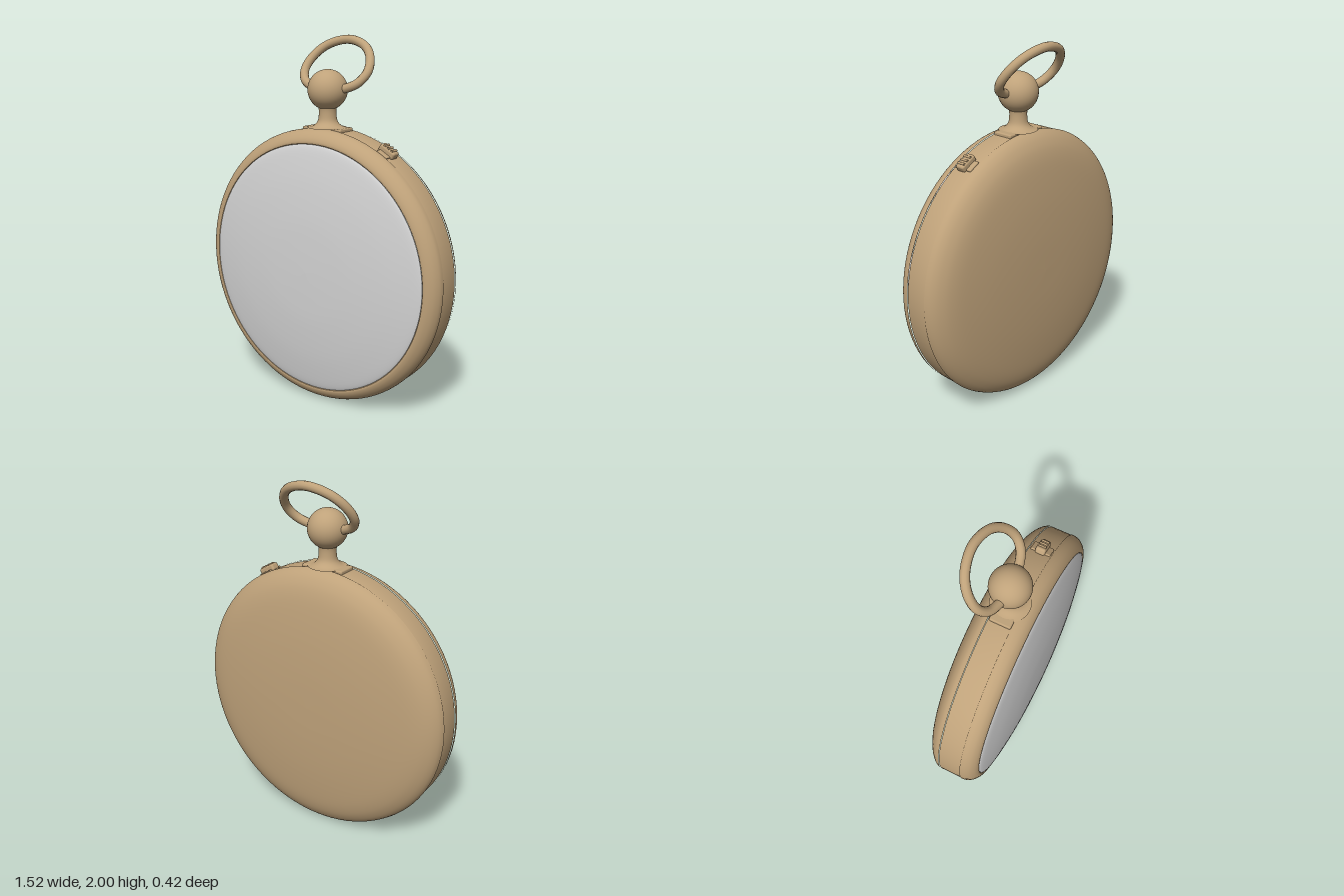
import * as THREE from 'three';
import { RoundedBoxGeometry } from 'three/addons/geometries/RoundedBoxGeometry.js';

const CENTRE_Y = 0.765, R = 0.76;

export function createModel() {
  const watch = new THREE.Group();
  watch.name = 'pocketWatch';
  const brass = new THREE.MeshStandardMaterial({ name: 'brass', color: 0xbfa27a });
  const glass = new THREE.MeshStandardMaterial({ name: 'pale glass', color: 0xd4d4d4 });

  const add = (parent, name, geometry, material = brass) => {
    const mesh = new THREE.Mesh(geometry, material);
    mesh.name = name;
    parent.add(mesh);
    return mesh;
  };
  const vectors = (points) => points.map(([x, y]) => new THREE.Vector2(x, y));
  // Smooth profile of [radius, height] points turned around y
  const turned = (points, steps, segments) => new THREE.LatheGeometry(
    new THREE.SplineCurve(vectors(points)).getPoints(steps), segments);

  // Case, turned around the z axis
  const body = new THREE.Group();
  body.name = 'case';
  body.position.y = CENTRE_Y;
  body.rotation.x = Math.PI / 2;
  watch.add(body);
  add(body, 'backCover', turned([[0, -0.205], [0.2, -0.202], [0.4, -0.191], [0.57, -0.172],
    [0.66, -0.152], [0.715, -0.125], [0.747, -0.095], [R, -0.066]], 32, 96));
  add(body, 'middleBand', new THREE.LatheGeometry(vectors([[R - 0.02, -0.066], [R - 0.003, -0.064],
    [R - 0.003, 0.058], [R - 0.02, 0.06]]), 96));
  add(body, 'bezel', turned([[R, 0.06], [0.757, 0.085], [0.742, 0.113], [0.72, 0.133],
    [0.7, 0.142], [0.688, 0.142]], 20, 96));
  add(body, 'bezelLip', new THREE.LatheGeometry(vectors([[0.688, 0.142], [0.68, 0.13]]), 96));
  add(body, 'glassDome', turned([[0.683, 0.135], [0.679, 0.146], [0.62, 0.16], [0.48, 0.181],
    [0.3, 0.197], [0.14, 0.203], [0, 0.205]], 28, 96), glass);

  // Neck and crown ball
  add(watch, 'neckPlate', new RoundedBoxGeometry(0.25, 0.03, 0.118, 2, 0.008)).position.y = 1.514;
  add(watch, 'neck', turned([[0.105, 1.525], [0.075, 1.535], [0.053, 1.56], [0.047, 1.6],
    [0.05, 1.635], [0.064, 1.66]], 20, 32));
  add(watch, 'crownBall', new THREE.SphereGeometry(0.107, 40, 28)).position.y = 1.725;

  // Bow leaning backwards, mirrored about x = 0
  const half = [[0.07, 1.728], [0.115, 1.738], [0.172, 1.765], [0.204, 1.82], [0.185, 1.89],
    [0.12, 1.95]];
  const place = ([x, y]) => new THREE.Vector3(x, y, -0.74 * (y - 1.725));
  const bowPath = new THREE.CatmullRomCurve3([
    ...half.map(place), place([0, 1.98]),
    ...half.map(([x, y]) => place([-x, y])).reverse(),
  ]);
  add(watch, 'bow', new THREE.TubeGeometry(bowPath, 72, 0.024, 12));

  // Release button on the upper left of the rim
  const release = new THREE.Group();
  release.name = 'releaseButton';
  const angle = Math.PI / 6;
  release.position.set(R * Math.sin(angle), CENTRE_Y + R * Math.cos(angle), 0);
  release.rotation.z = -angle;
  watch.add(release);
  add(release, 'buttonPlate', new RoundedBoxGeometry(0.07, 0.02, 0.11, 2, 0.005)).position.y = -0.005;
  add(release, 'button', new RoundedBoxGeometry(0.1, 0.04, 0.055, 3, 0.012)).position.y = 0.012;
  for (const x of [-0.025, 0, 0.025]) {
    const ridge = add(release, 'buttonRidge', new THREE.CylinderGeometry(0.007, 0.007, 0.045, 10));
    ridge.rotation.x = Math.PI / 2;
    ridge.position.set(x, 0.031, 0);
  }
  return watch;
}
